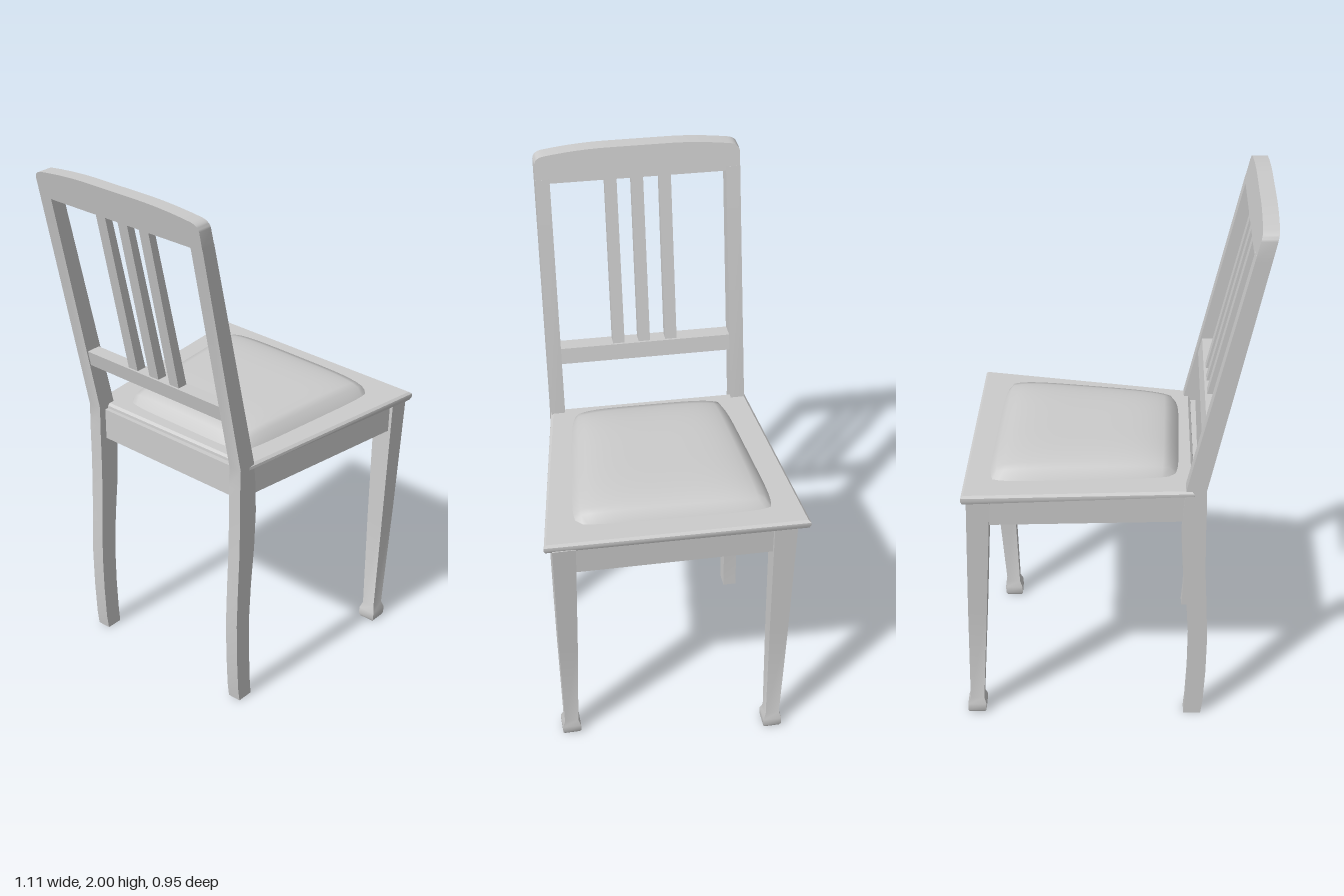
import * as THREE from 'three';
import { toCreasedNormals } from 'three/addons/utils/BufferGeometryUtils.js';

const material = new THREE.MeshStandardMaterial({ color: 0xcccccc });
const lerp = THREE.MathUtils.lerp;

// Closed solid through rings of four corners, listed from bottom to top
function loft(rings) {
  const pos = rings.flat(2), index = [], n = rings.length;
  for (let i = 0; i < n - 1; i++) {
    for (let j = 0; j < 4; j++) {
      const a = i * 4 + j, b = i * 4 + (j + 1) % 4;
      index.push(a, b, b + 4, a, b + 4, a + 4);
    }
  }
  const t = (n - 1) * 4;
  index.push(0, 2, 1, 0, 3, 2, t, t + 1, t + 2, t, t + 2, t + 3);
  const g = new THREE.BufferGeometry();
  g.setAttribute('position', new THREE.Float32BufferAttribute(pos, 3));
  g.setIndex(index);
  return toCreasedNormals(g, 0.6);
}

const rect = (y, x0, x1, z0, z1) => [[x0, y, z0], [x0, y, z1], [x1, y, z1], [x1, y, z0]];

// Leaning plane of the backrest: rear and front faces at a height, slightly skewed across z
const rearX = (y, z) => -0.345 - 0.214 * (y - 1) - 0.02 * (z + 0.03);
const frontX = (y, z) => -0.272 - 0.232 * (y - 1) - 0.02 * (z + 0.03);
const seatTop = (x) => 1.008 + 0.02 * x;

// Beam lying in the backrest, with its depth inset from both faces
function backPiece(y0, y1, z0, z1, inset) {
  return loft([y0, y1].map((y) => [
    [rearX(y, z0) + inset, y, z0], [rearX(y, z1) + inset, y, z1],
    [frontX(y, z1) - inset, y, z1], [frontX(y, z0) - inset, y, z0],
  ]));
}

// Upright board between two plan points
function board(x0, z0, x1, z1, y0, y1, t) {
  const d = new THREE.Vector2(x1 - x0, z1 - z0).normalize().multiplyScalar(t / 2);
  const ring = (y) => [
    [x0 + d.y, y, z0 - d.x], [x0 - d.y, y, z0 + d.x],
    [x1 - d.y, y, z1 + d.x], [x1 + d.y, y, z1 - d.x],
  ];
  return loft([ring(y0), ring(y1)]);
}

// Tapered front leg on a small flared foot
function frontLeg(bx, bz, tx, tz) {
  const levels = [[0, 0.029], [0.012, 0.035], [0.04, 0.035], [0.065, 0.026], [0.5, 0.035], [0.99, 0.042]];
  return loft(levels.map(([y, h]) => {
    const x = lerp(bx, tx, y), z = lerp(bz, tz, y);
    return rect(y, x - h, x + h, z - h, z + h);
  }));
}

// Curved rear leg continuing up as the leaning back post
function rearPost(z0, z1) {
  const s = -0.02 * ((z0 + z1) / 2 + 0.03);
  const levels = [[0, -0.347, -0.282], [0.06, -0.355, -0.287], [0.2, -0.362, -0.293], [0.35, -0.364, -0.294],
    [0.5, -0.358, -0.284], [0.65, -0.35, -0.268], [0.8, -0.347, -0.26], [0.92, -0.347, -0.264]];
  const rings = levels.map(([y, a, b]) => rect(y, a + s, b + s, z0, z1));
  for (const y of [1, 1.9]) rings.push(rect(y, rearX(y, z0), frontX(y, z0), z0, z1));
  return loft(rings);
}

// Arched top rail with rounded shoulders
function topRail() {
  const s = new THREE.Shape();
  s.moveTo(-0.347, 1.885);
  s.lineTo(0.408, 1.885);
  s.lineTo(0.408, 1.955);
  s.quadraticCurveTo(0.405, 1.98, 0.37, 1.984);
  s.quadraticCurveTo(0.25, 2, 0.15, 2);
  s.lineTo(-0.08, 2);
  s.quadraticCurveTo(-0.19, 2, -0.31, 1.984);
  s.quadraticCurveTo(-0.344, 1.98, -0.347, 1.955);
  const g = new THREE.ExtrudeGeometry(s, { depth: 1, bevelEnabled: false, curveSegments: 6 });
  const p = g.attributes.position;
  for (let i = 0; i < p.count; i++) {
    const y = p.getY(i), z = -p.getX(i);
    p.setXYZ(i, lerp(rearX(y, z), frontX(y, z), p.getZ(i)), y, z);
  }
  return toCreasedNormals(g, 0.6);
}

// Trapezoid seat board with softened edges
function seatBoard() {
  const corners = [[-0.295, -0.415], [-0.305, 0.348], [0.505, 0.474], [0.53, -0.477]];
  const ring = (drop, k) => corners.map(([x, z]) =>
    [x - Math.sign(x) * k, drop === null ? 0.982 + 0.006 * x : seatTop(x) - drop, z - Math.sign(z) * k]);
  return loft([ring(null, 0.006), ring(0.018, 0), ring(0.008, 0.001), ring(0, 0.01)]);
}

// Domed upholstered pad filling a rounded trapezoid
function cushion() {
  const n = 24, g = new THREE.PlaneGeometry(2, 2, n, n), p = g.attributes.position;
  for (let i = 0; i < p.count; i++) {
    const u = p.getX(i), v = -p.getY(i);
    // pull the corners in a little, then blend between the four corner points
    const k = 1 - 0.05 * Math.pow(u * v, 6), a = (u * k + 1) / 2, b = (v * k + 1) / 2;
    const x = lerp(lerp(-0.243, 0.445, a), lerp(-0.26, 0.415, a), b);
    const z = lerp(lerp(-0.318, -0.375, a), lerp(0.275, 0.365, a), b);
    const edge = Math.max(Math.abs(u), Math.abs(v)) > 0.999;
    const dome = Math.sqrt((1 - Math.pow(u, 4)) * (1 - Math.pow(v, 4)));
    p.setXYZ(i, x, seatTop(x) + (edge ? -0.004 : 0.01 + 0.052 * dome), z);
  }
  g.computeVertexNormals();
  return g;
}

export function createModel() {
  const model = new THREE.Group();
  const add = (name, geometry) => {
    const mesh = new THREE.Mesh(geometry, material);
    mesh.name = name;
    model.add(mesh);
    return mesh;
  };

  // Legs and back posts
  add('leftFrontLeg', frontLeg(0.416, 0.396, 0.465, 0.403));
  add('rightFrontLeg', frontLeg(0.516, -0.374, 0.472, -0.391));
  add('leftRearPost', rearPost(0.295, 0.347));
  add('rightRearPost', rearPost(-0.408, -0.355));

  // Backrest
  add('topRail', topRail());
  add('lowerBackRail', backPiece(1.195, 1.255, -0.36, 0.3, 0.006));
  for (const z of [0.071, -0.027, -0.13]) add('backSlat', backPiece(1.25, 1.89, z - 0.022, z + 0.022, 0.014));

  // Seat
  add('seatBoard', seatBoard());
  add('seatCushion', cushion()).material = new THREE.MeshStandardMaterial({ color: 0xcccccc, side: THREE.DoubleSide });

  // Apron under the seat
  add('leftApron', board(-0.3, 0.318, 0.45, 0.42, 0.87, 0.984, 0.03));
  add('rightApron', board(-0.3, -0.383, 0.45, -0.41, 0.87, 0.984, 0.03));
  add('frontApron', board(0.487, -0.37, 0.475, 0.37, 0.872, 0.984, 0.03));
  add('rearApron', board(-0.295, -0.37, -0.31, 0.31, 0.862, 0.984, 0.03));

  // Diagonal blocks bracing the apron corners
  add('cornerBlock', board(0.37, 0.4, 0.47, 0.3, 0.9, 0.984, 0.03));
  add('cornerBlock', board(0.37, -0.4, 0.47, -0.3, 0.9, 0.984, 0.03));
  add('cornerBlock', board(-0.2, 0.32, -0.29, 0.23, 0.9, 0.984, 0.03));
  add('cornerBlock', board(-0.2, -0.37, -0.29, -0.29, 0.9, 0.984, 0.03));
  return model;
}
